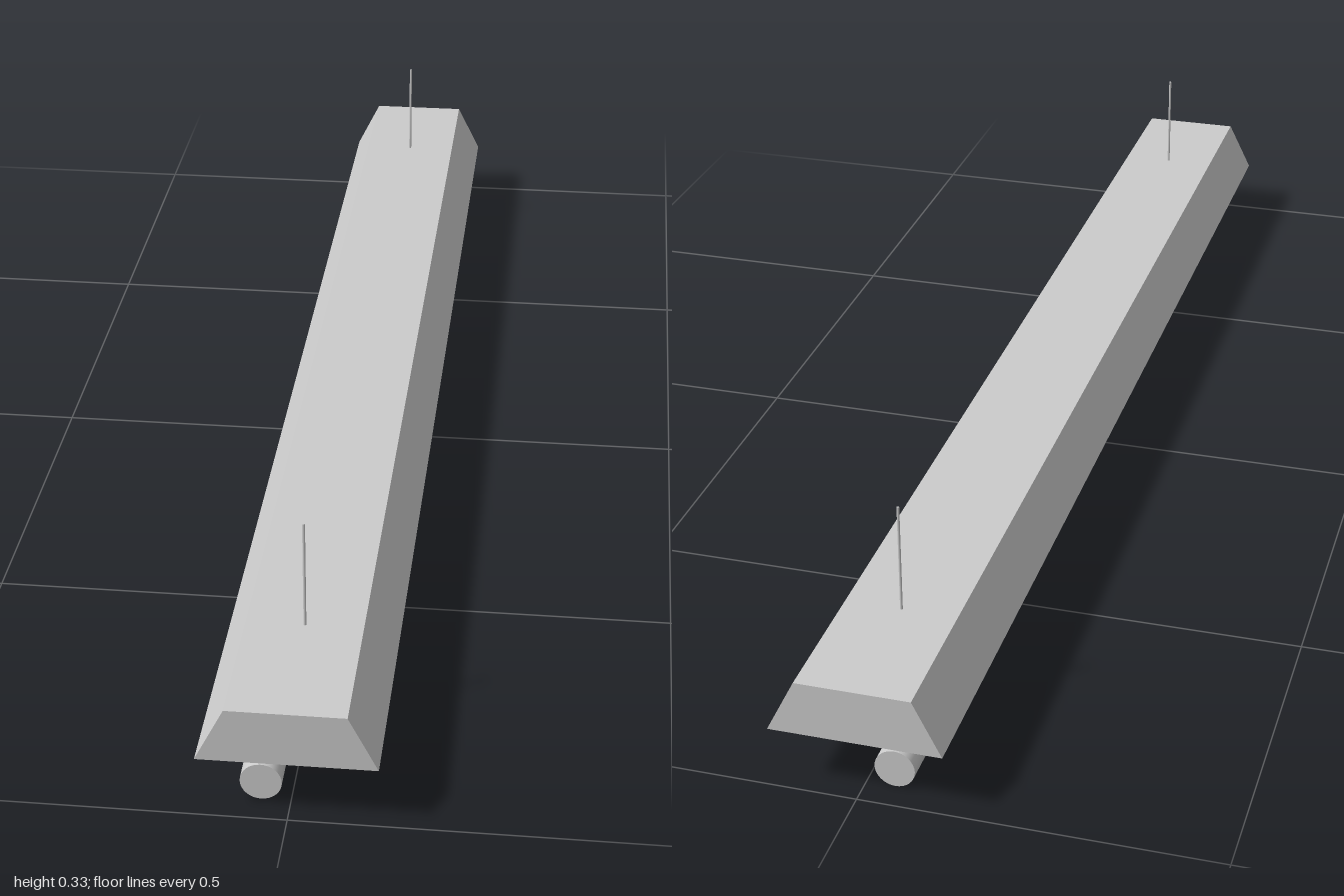
import * as THREE from 'three';

const BOTTOM = 0.09, TOP = 0.17, WALL = 0.015, LENGTH = 2;

export function createModel() {
  const group = new THREE.Group();
  const material = new THREE.MeshStandardMaterial({ color: 0xcccccc });

  const add = (name, geometry, x = 0, y = 0, z = 0) => {
    const mesh = new THREE.Mesh(geometry, material);
    mesh.name = name;
    mesh.position.set(x, y, z);
    group.add(mesh);
  };
  const extrude = (points, depth) => new THREE.ExtrudeGeometry(
    new THREE.Shape(points.map(([x, y]) => new THREE.Vector2(x, y))),
    { depth, bevelEnabled: false });

  // Trapezoid shade: a channel open at the bottom
  const outer = [[0.12, BOTTOM], [0.08, TOP], [-0.08, TOP], [-0.12, BOTTOM]];
  const inner = [[-0.12 + WALL, BOTTOM], [-0.08 + WALL * 0.5, TOP - WALL],
    [0.08 - WALL * 0.5, TOP - WALL], [0.12 - WALL, BOTTOM]];
  add('shade', extrude([...outer, ...inner], LENGTH - 2 * WALL), 0, 0, -LENGTH / 2 + WALL);

  // Plates closing both ends of the shade
  add('frontEndPlate', extrude(outer, WALL), 0, 0, LENGTH / 2 - WALL);
  add('backEndPlate', extrude(outer, WALL), 0, 0, -LENGTH / 2);

  // Two light tubes, one inside the shade and one beneath it
  const tube = new THREE.CylinderGeometry(0.028, 0.028, 1.92, 32).rotateX(Math.PI / 2);
  add('lowerTube', tube, -0.04, 0.028);
  add('upperTube', tube, -0.04, 0.12);

  // Thin hanging rods
  const rod = new THREE.CylinderGeometry(0.002, 0.002, 0.16, 8);
  for (const side of [1, -1]) {
    add(side > 0 ? 'frontRod' : 'backRod', rod, 0, TOP + 0.08, side * 0.8);
  }
  return group;
}
